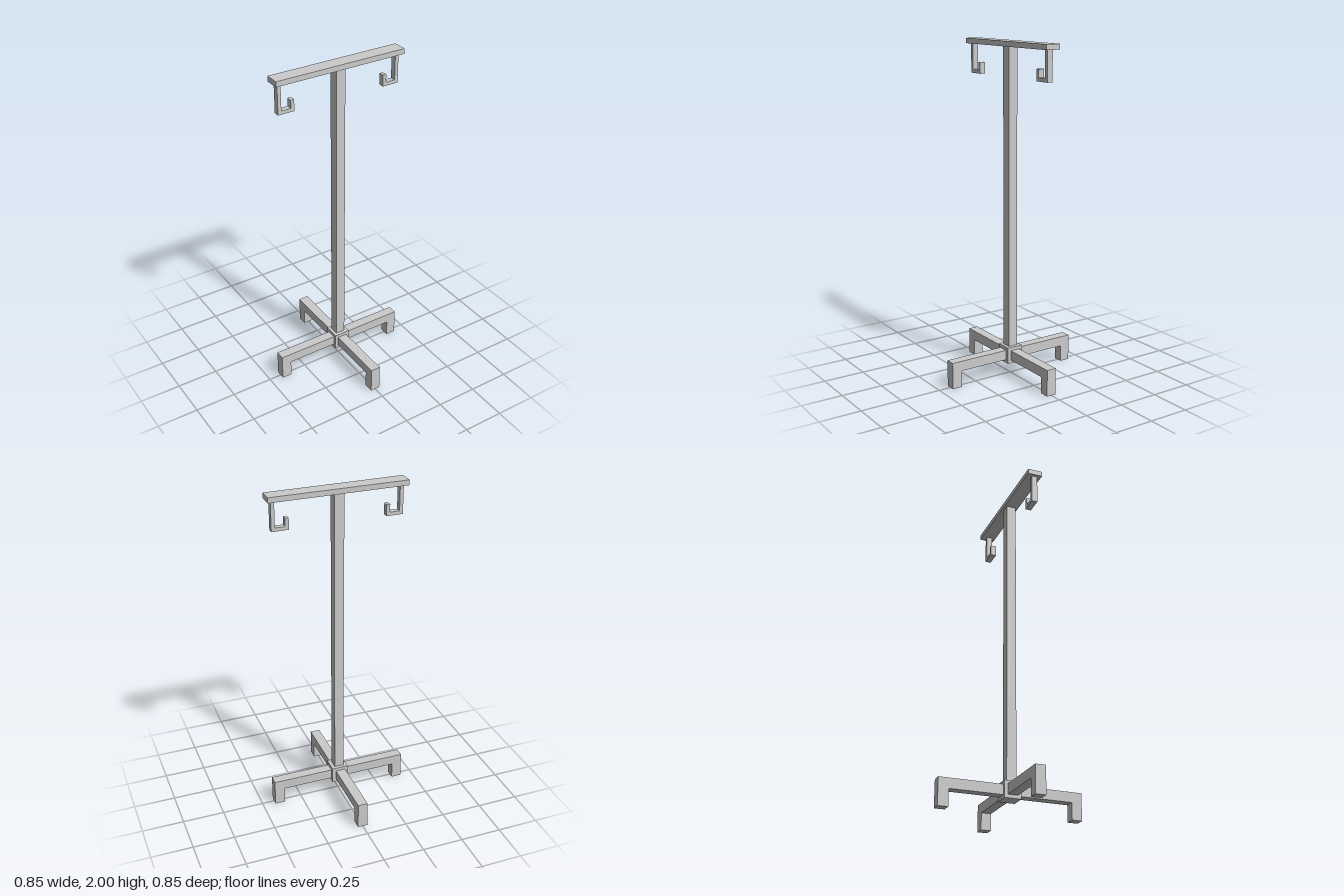
import * as THREE from 'three';

const material = new THREE.MeshStandardMaterial({ color: 0xcccccc, flatShading: true });

// Box given by its lower and upper corners
function box(name, [x0, y0, z0], [x1, y1, z1]) {
  const mesh = new THREE.Mesh(new THREE.BoxGeometry(x1 - x0, y1 - y0, z1 - z0), material);
  mesh.name = name;
  mesh.position.set((x0 + x1) / 2, (y0 + y1) / 2, (z0 + z1) / 2);
  return mesh;
}

// Solid made by extruding an outline in x and y, centred on z
function plate(name, points, depth) {
  const shape = new THREE.Shape(points.map(([x, y]) => new THREE.Vector2(x, y)));
  const geometry = new THREE.ExtrudeGeometry(shape, { depth, bevelEnabled: false });
  geometry.translate(0, 0, -depth / 2);
  const mesh = new THREE.Mesh(geometry, material);
  mesh.name = name;
  return mesh;
}

export function createModel() {
  const group = new THREE.Group();
  group.name = 'hookStand';

  // Upright, hub and top bar
  group.add(
    box('pole', [-0.028, 0.1, -0.029], [0.03, 1.97, 0.029]),
    box('hub', [-0.048, 0.08, -0.05], [0.052, 0.18, 0.05]),
    box('crossbar', [-0.405, 1.969, -0.044], [0.409, 2, 0.044])
  );

  // Four legs, each an arm with a turned-down foot
  const legOutline = [[0.03, 0.1], [0.363, 0.1], [0.363, 0], [0.424, 0], [0.424, 0.16], [0.03, 0.16]];
  for (let i = 0; i < 4; i++) {
    const leg = plate('leg' + (i + 1), legOutline, 0.06);
    leg.rotation.y = (i * Math.PI) / 2;
    group.add(leg);
  }

  // Two square hooks under the bar, opening inward
  const hookOutline = [
    [0.365, 1.969], [0.365, 1.815], [0.307, 1.815], [0.307, 1.862],
    [0.286, 1.862], [0.286, 1.794], [0.386, 1.794], [0.386, 1.969],
  ];
  const leftHook = plate('leftHook', hookOutline, 0.035);
  const rightHook = plate('rightHook', hookOutline, 0.035);
  rightHook.rotation.y = Math.PI;
  leftHook.position.z = rightHook.position.z = 0.003;
  group.add(leftHook, rightHook);

  return group;
}
